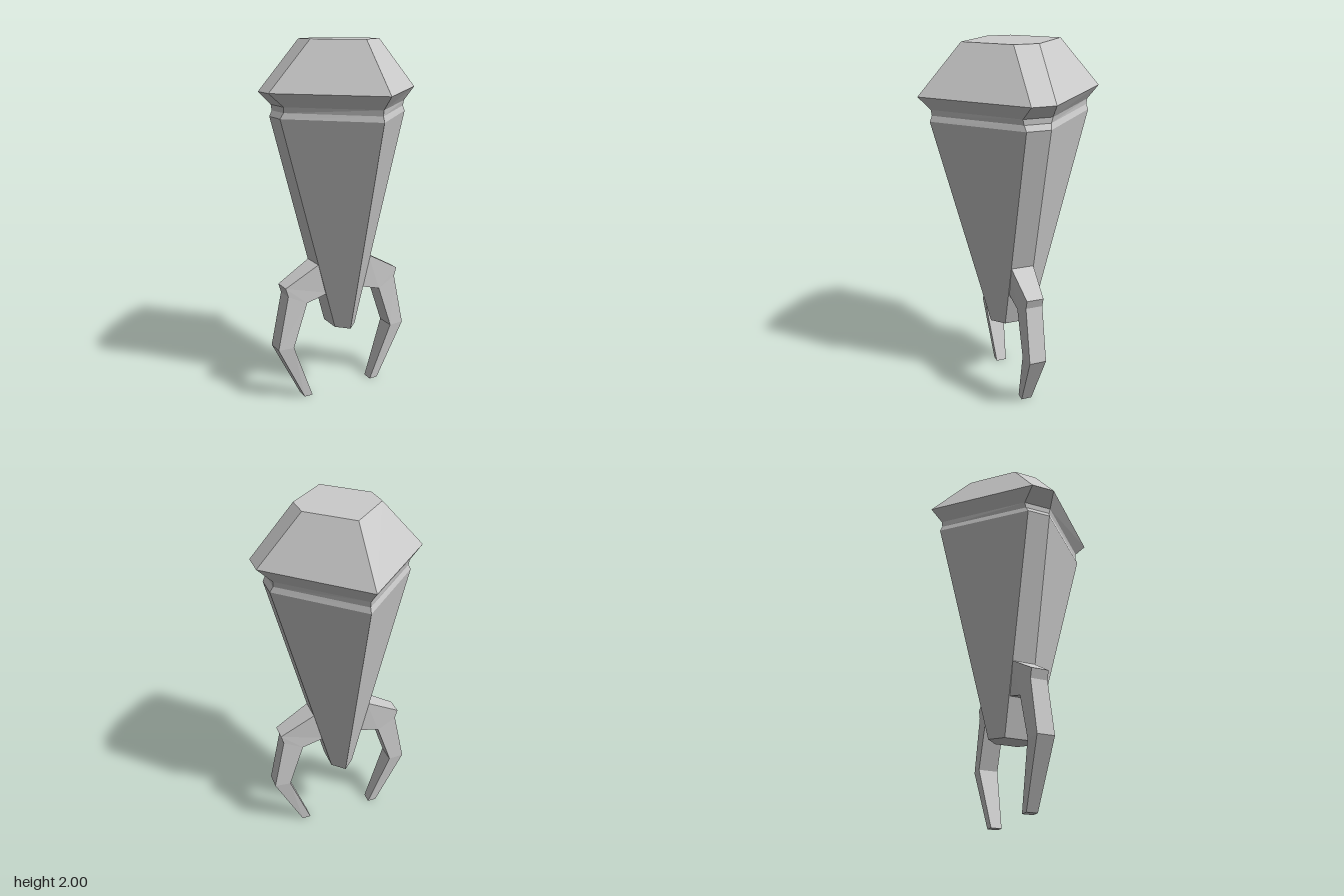
import * as THREE from 'three';

const material = new THREE.MeshStandardMaterial({ color: 0xcccccc, flatShading: true });

// Skin a row of equal-sized rings (counter-clockwise seen from the far end), with end caps.
function loft(name, rings) {
  const pos = [];
  const tri = (a, b, c) => pos.push(...a, ...b, ...c);
  const n = rings[0].length;
  for (let r = 0; r < rings.length - 1; r++) {
    for (let i = 0; i < n; i++) {
      const j = (i + 1) % n;
      tri(rings[r][i], rings[r][j], rings[r + 1][j]);
      tri(rings[r][i], rings[r + 1][j], rings[r + 1][i]);
    }
  }
  const first = rings[0], last = rings[rings.length - 1];
  for (let i = 1; i < n - 1; i++) {
    tri(first[0], first[i + 1], first[i]);
    tri(last[0], last[i], last[i + 1]);
  }
  const geometry = new THREE.BufferGeometry();
  geometry.setAttribute('position', new THREE.Float32BufferAttribute(pos, 3));
  geometry.computeVertexNormals();
  const mesh = new THREE.Mesh(geometry, material);
  mesh.name = name;
  return mesh;
}

// Six-sided section: points at front and back, narrow flats on the sides.
const hexRing = ([y, x, z, w]) => [
  [x, y, w], [x, y, -w], [0, y, -z], [-x, y, -w], [-x, y, w], [0, y, z],
];

// Four-sided claw section from an outer and an inner point, each with a half thickness.
const clawRing = ([ox, oy, oh, ix, iy, ih]) => [
  [ox, oy, -oh], [ox, oy, oh], [ix, iy, ih], [ix, iy, -ih],
];

export function createModel() {
  const model = new THREE.Group();
  model.name = 'clawedPod';

  // Tapered body, recessed neck and faceted cap: y, half width, half depth, half flat
  model.add(loft('body', [
    [0.41, 0.065, 0.13, 0.065],
    [1.61, 0.38, 0.445, 0.065],
    [1.64, 0.363, 0.433, 0.071],
    [1.67, 0.365, 0.437, 0.078],
    [1.74, 0.44, 0.503, 0.065],
    [2.0, 0.205, 0.27, 0.067],
  ].map(hexRing)));

  // Bent claws, the second turned half way round
  const sections = [
    [0.155, 0.806, 0.065, 0.105, 0.623, 0.06],
    [0.36, 0.69, 0.047, 0.235, 0.585, 0.055],
    [0.345, 0.64, 0.047, 0.235, 0.585, 0.055],
    [0.41, 0.335, 0.047, 0.32, 0.335, 0.055],
    [0.245, 0, 0.03, 0.195, 0, 0.03],
  ].map(clawRing);
  const leftClaw = loft('leftClaw', sections);
  const rightClaw = loft('rightClaw', sections);
  rightClaw.rotation.y = Math.PI;
  model.add(leftClaw, rightClaw);

  return model;
}
